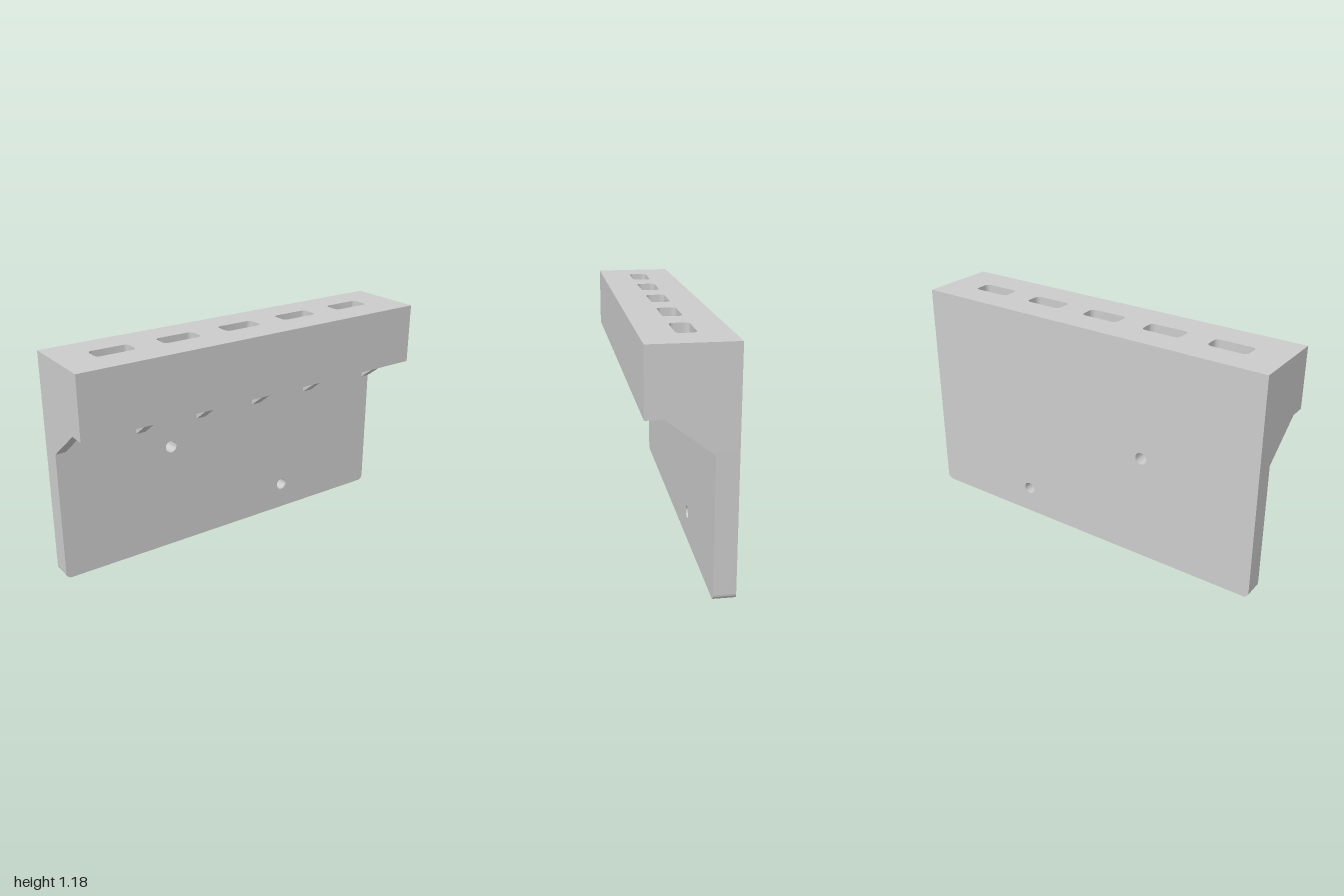
import * as THREE from 'three';
import { toCreasedNormals } from 'three/addons/utils/BufferGeometryUtils.js';

const TOP = 1.18, LEDGE = 0.86, BACK = -0.205, FRONT = 0.205, PLATE_FRONT = -0.1;
const SLOT_DEPTH = 0.24;

export function createModel() {
  const model = new THREE.Group();
  const material = new THREE.MeshStandardMaterial({ color: 0xcccccc });

  const add = (name, geometry) => {
    const mesh = new THREE.Mesh(geometry, material);
    mesh.name = name;
    model.add(mesh);
    return mesh;
  };
  const extrude = (shape, depth) =>
    new THREE.ExtrudeGeometry(shape, { depth, bevelEnabled: false, curveSegments: 12 });
  const polygon = (points) => new THREE.Shape(points.map(([x, y]) => new THREE.Vector2(x, y)));

  // Back plate with rounded bottom corners and two screw holes
  const r = 0.03;
  const plate = new THREE.Shape();
  plate.moveTo(-1 + r, 0);
  plate.lineTo(1 - r, 0);
  plate.absarc(1 - r, r, r, -Math.PI / 2, 0, false);
  plate.lineTo(1, LEDGE);
  plate.lineTo(-1, LEDGE);
  plate.lineTo(-1, r);
  plate.absarc(-1 + r, r, r, Math.PI, Math.PI * 1.5, false);
  for (const [x, y] of [[-0.367, 0.57], [0.362, 0.147]]) {
    plate.holes.push(new THREE.Path().absarc(x, y, 0.032, 0, Math.PI * 2, true));
  }
  add('backPlate', toCreasedNormals(extrude(plate, PLATE_FRONT - BACK), 0.6))
    .position.z = BACK;

  // Rounded slot outline, drawn in x and -z
  const slot = (cx) => {
    const w = 0.104, z0 = -0.043, z1 = 0.053, c = 0.025;
    const p = new THREE.Path();
    p.absarc(cx + w - c, z0 + c, c, -Math.PI / 2, 0, false);
    p.absarc(cx + w - c, z1 - c, c, 0, Math.PI / 2, false);
    p.absarc(cx - w + c, z1 - c, c, Math.PI / 2, Math.PI, false);
    p.absarc(cx - w + c, z0 + c, c, Math.PI, Math.PI * 1.5, false);
    p.closePath();
    return p;
  };

  // Upper part of the ledge, pierced by five slots
  const ledge = polygon([[-1, -FRONT], [1, -FRONT], [1, -BACK], [-1, -BACK]]);
  for (let i = -2; i <= 2; i++) ledge.holes.push(slot(i * 0.357 - 0.003));
  const ledgeGeometry = toCreasedNormals(extrude(ledge, SLOT_DEPTH), 0.6);
  ledgeGeometry.rotateX(-Math.PI / 2);
  add('slottedLedge', ledgeGeometry).position.y = TOP - SLOT_DEPTH;

  // Solid floor under the slots
  const floorHeight = TOP - SLOT_DEPTH - LEDGE;
  add('ledgeFloor', new THREE.BoxGeometry(2, floorHeight, FRONT - BACK))
    .position.y = LEDGE + floorHeight / 2;

  // Sloped ribs bracing the ledge against the plate
  const ribWidth = 0.052;
  const ribShape = polygon([[PLATE_FRONT, 0.69], [0.12, LEDGE], [PLATE_FRONT, LEDGE]]);
  const ribGeometry = extrude(ribShape, ribWidth);
  ribGeometry.rotateY(-Math.PI / 2);
  ribGeometry.translate(ribWidth / 2, 0, 0);
  const end = 1 - ribWidth / 2;
  for (const x of [-end, -0.539, -0.182, 0.176, 0.532, end]) {
    add('supportRib', ribGeometry).position.x = x;
  }

  return model;
}
